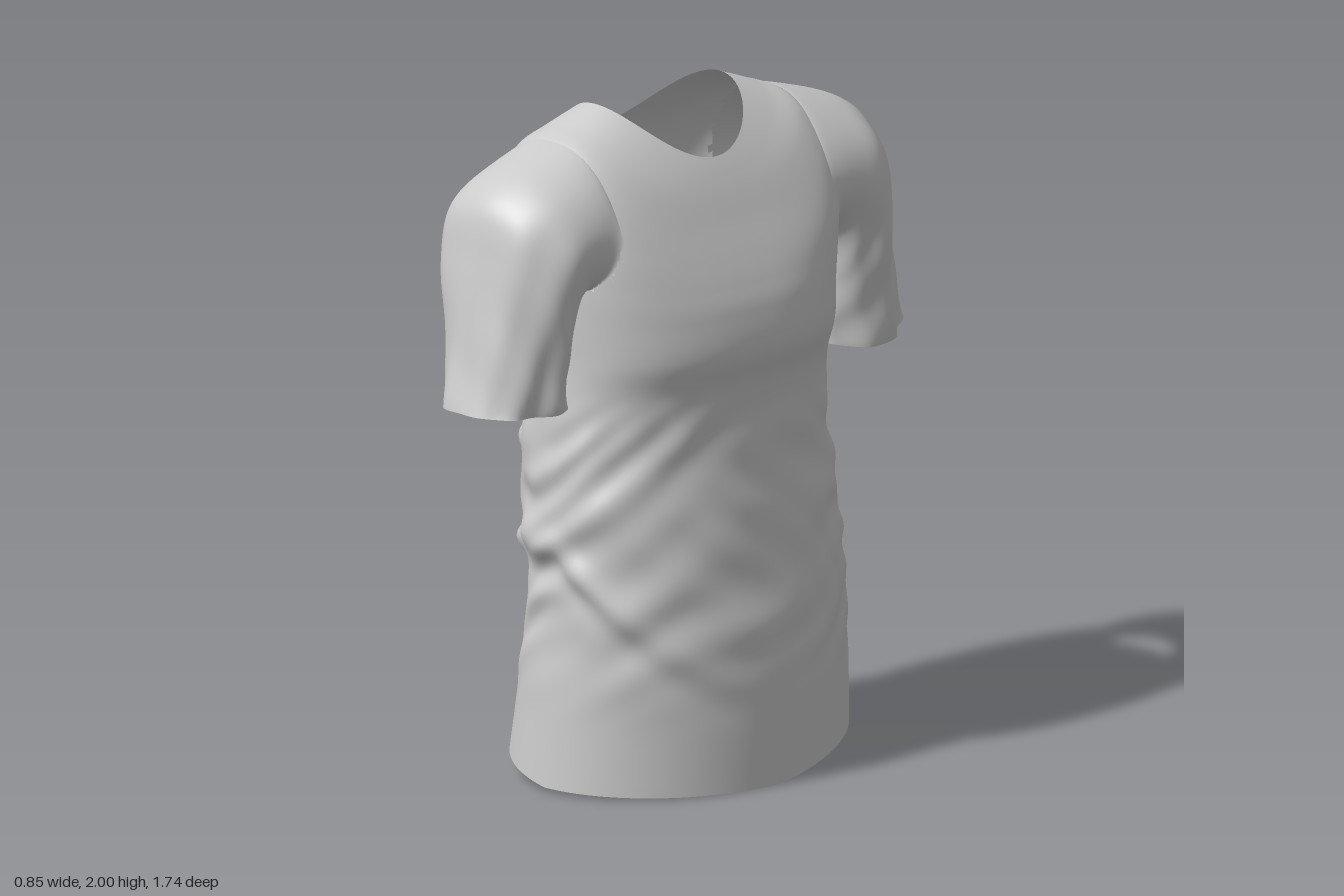
import * as THREE from 'three';

const cloth = new THREE.MeshStandardMaterial({ color: 0xcccccc, side: THREE.DoubleSide });

// Smooth lookup through the columns of a table of cross-sections, t from 0 to 1
function columns(rows) {
  const curves = rows[0].map((_, k) =>
    new THREE.SplineCurve(rows.map((r, i) => new THREE.Vector2(i, r[k]))));
  return t => curves.map(c => c.getPoint(t).y);
}

// Closed loops joined into a skin; skip(t, angle) leaves a hole
function loft(name, nRows, nSeg, point, flip = false, skip = () => false) {
  const pts = [], index = [];
  for (let i = 0; i <= nRows; i++)
    for (let j = 0; j < nSeg; j++) pts.push(point(i / nRows, (j / nSeg) * Math.PI * 2));
  for (let i = 0; i < nRows; i++) {
    for (let j = 0; j < nSeg; j++) {
      if (skip((i + 0.5) / nRows, ((j + 0.5) / nSeg) * Math.PI * 2)) continue;
      const k = (j + 1) % nSeg;
      const a = i * nSeg + j, b = a + nSeg, c = (i + 1) * nSeg + k, d = i * nSeg + k;
      if (flip) index.push(a, d, b, b, d, c);
      else index.push(a, b, d, b, c, d);
    }
  }
  const geo = new THREE.BufferGeometry().setFromPoints(pts);
  geo.setIndex(index);
  geo.computeVertexNormals();
  const mesh = new THREE.Mesh(geo, cloth);
  mesh.name = name;
  return mesh;
}

const bump = (v, centre, width) => Math.exp(-(((v - centre) / width) ** 2));
const power = (v, n) => Math.sign(v) * Math.abs(v) ** (2 / n);

// Torso sections: y at chest/back, y at sides, front x, back x, half width z, centre z, roundness
const torsoRows = columns([
  [0.00, 0.00, 0.422, -0.428, 0.555, 0.015, 2.0],
  [0.20, 0.20, 0.422, -0.400, 0.545, 0.015, 2.0],
  [0.40, 0.40, 0.412, -0.365, 0.530, 0.020, 2.1],
  [0.56, 0.56, 0.395, -0.325, 0.522, 0.020, 2.2],
  [0.68, 0.68, 0.375, -0.325, 0.520, 0.025, 2.2],
  [0.84, 0.84, 0.355, -0.320, 0.518, 0.035, 2.2],
  [1.00, 1.00, 0.330, -0.330, 0.510, 0.035, 2.2],
  [1.18, 1.18, 0.330, -0.350, 0.500, 0.030, 2.3],
  [1.30, 1.30, 0.360, -0.370, 0.500, 0.025, 2.4],
  [1.42, 1.42, 0.345, -0.395, 0.508, 0.025, 2.6],
  [1.50, 1.53, 0.318, -0.405, 0.518, 0.020, 2.9],
  [1.58, 1.67, 0.282, -0.405, 0.528, 0.010, 3.2],
  [1.66, 1.81, 0.242, -0.395, 0.520, 0.010, 3.1],
  [1.74, 1.915, 0.203, -0.380, 0.460, 0.010, 2.7],
  [1.80, 1.96, 0.170, -0.360, 0.360, 0.010, 2.3],
  [1.84, 2.00, 0.145, -0.340, 0.255, 0.010, 2.0],
]);

// Bunched cloth: fine diagonal creases plus slanting folds that hang over the hem
function waistFolds(c, s, y) {
  const front = Math.max(0, c), back = Math.max(0, -c);
  const region = THREE.MathUtils.smoothstep(y, 0.15, 0.6)
    * (1 - THREE.MathUtils.smoothstep(y, 1.0, 1.22));
  const warp = 1.6 * Math.sin(3 * s + 4 * y) + 1.1 * Math.sin(5 * c - 6 * y + 2 * s);
  const creases = 0.5 * Math.sin(23 * y + 9 * s + warp)
    + 0.45 * Math.sin(37 * y - 8 * c + 7 * s + 1.7 * warp)
    + 0.35 * Math.sin(17 * s - 21 * y + 1.4 * warp);
  const line = 0.54 + 0.13 * s - 0.33 * front;
  const depth = Math.min(1, back + 0.8 * Math.max(0, s) * (1 - 0.5 * front));
  const droop = 0.024 * bump(y, line + 0.07, 0.05) - 0.012 * bump(y, line - 0.02, 0.045);
  const upper = 0.016 * bump(y, 0.82 + 0.1 * s, 0.045) + 0.018 * bump(y, 0.98 + 0.04 * s, 0.045);
  return region * (0.006 + 0.006 * back + 0.003 * s * s) * creases + droop * depth + upper * back;
}

function torsoPoint(t, angle) {
  const c = Math.cos(angle), s = Math.sin(angle);
  const [yMid, ySide, front, back, half, zc, n] = torsoRows(t);
  let y = yMid + (ySide - yMid) * s * s;
  const push = waistFolds(c, s, y);
  // the hem rises towards the back and one side
  const rise = 0.075 * Math.max(0, -c) + 0.08 * Math.max(0, -s) + 0.012 * s * s;
  y += rise * Math.max(0, 1 - y / 0.45);
  return new THREE.Vector3(
    (front + back) / 2 + (front - back) / 2 * power(c, n) + push * c,
    y,
    zc + half * power(s, n) + push * s);
}

// Armhole: an oval on the torso skin, given as centre and reach in t and angle
const hole = { t: 0.763, dt: 0.115, da: 0.76 };
const inArmhole = (t, angle) => {
  const off = Math.abs(Math.abs(angle - Math.PI) - Math.PI / 2);
  return ((t - hole.t) / hole.dt) ** 2 + (off / hole.da) ** 2 < 0.9;
};

// Sleeve sections: outer z, outer y, inner z, inner y, centre x, half depth x
const sleeveRows = columns([
  [0.450, 1.930, 0.500, 1.49, -0.080, 0.250],
  [0.570, 1.893, 0.520, 1.47, -0.075, 0.260],
  [0.675, 1.850, 0.530, 1.43, -0.070, 0.262],
  [0.750, 1.775, 0.535, 1.38, -0.070, 0.255],
  [0.785, 1.630, 0.535, 1.32, -0.065, 0.238],
  [0.812, 1.460, 0.530, 1.27, -0.055, 0.210],
  [0.840, 1.310, 0.522, 1.22, -0.045, 0.190],
  [0.868, 1.190, 0.515, 1.18, -0.040, 0.180],
]);

function sleevePoint(side, t, angle) {
  const c = Math.cos(angle), s = Math.sin(angle);
  const [zo, yo, zi, yi, xc, rx] = sleeveRows(t);
  // long pleats running down the sleeve
  const pleat = t * t * (1 - 0.5 * t) * (0.022 * Math.sin(5 * angle + side + 2.5 * t)
    + 0.014 * Math.sin(9 * angle - 6 * t + 2 * side) + 0.010 * Math.sin(3 * angle + 22 * t));
  const r = 1 + pleat / 0.22;
  const tilt = side < 0 ? -0.05 * c * t ** 3 : 0;
  const inner = side < 0 ? zi - 0.025 : zi;
  const free = new THREE.Vector3(
    xc + rx * c * r,
    (yo + yi) / 2 + (yo - yi) / 2 * s * r + tilt,
    side * ((zo + inner) / 2 + (zo - inner) / 2 * s * (s > 0 ? 1 + (r - 1) * 0.6 : 1)));
  // grow smoothly out of the armhole edge
  const edge = torsoPoint(hole.t + hole.dt * s, side * (Math.PI / 2 - hole.da * c));
  const u = Math.min(1, t / 0.32);
  return edge.lerp(free, 1 - (1 - u) ** 2);
}

export function createModel() {
  const shirt = new THREE.Group();
  shirt.name = 'shirt';
  shirt.add(loft('torso', 160, 144, torsoPoint, false, inArmhole));
  for (const side of [1, -1]) {
    shirt.add(loft(side > 0 ? 'leftSleeve' : 'rightSleeve', 64, 80,
      (t, a) => sleevePoint(side, t, a), side > 0));
  }
  return shirt;
}
